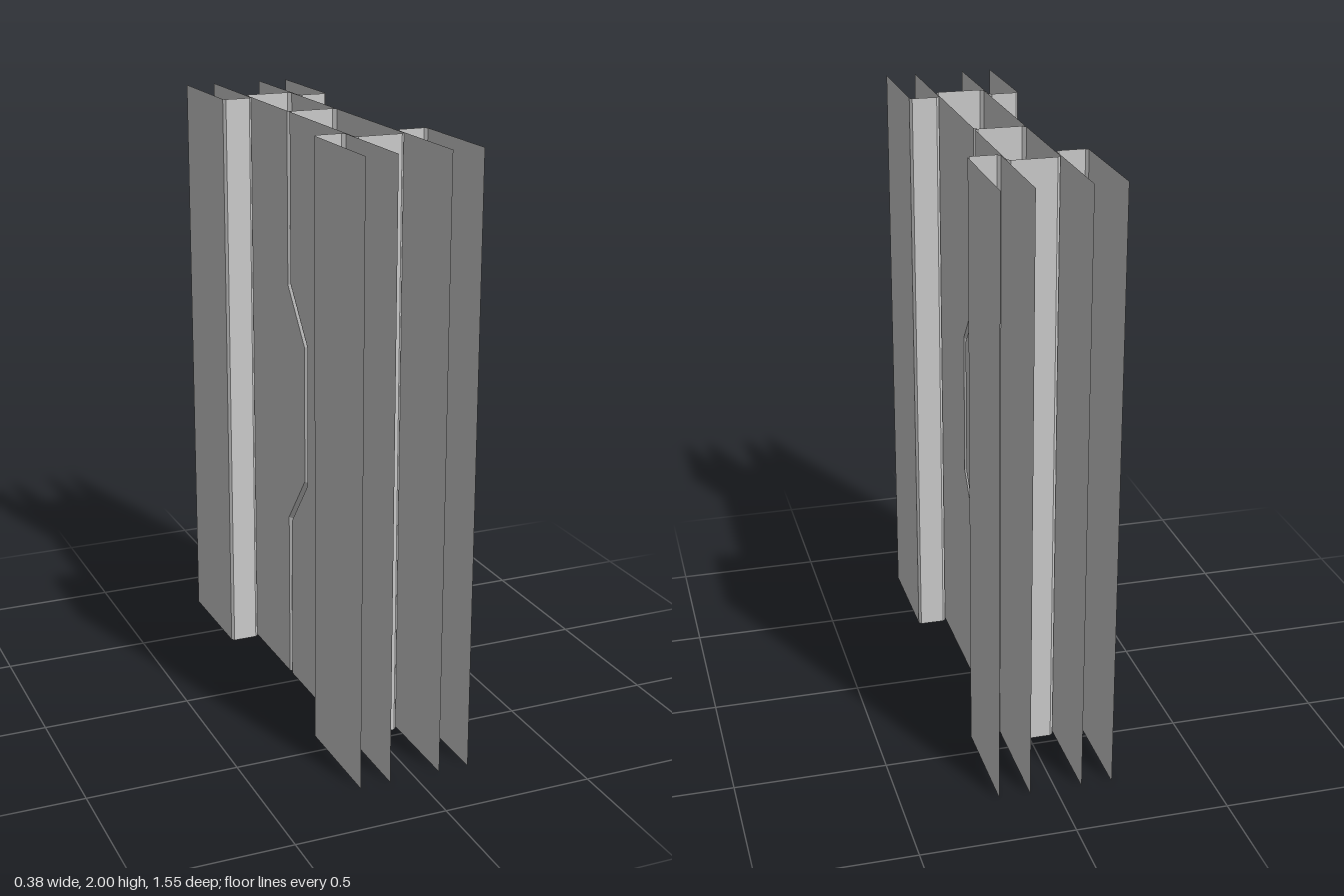
import * as THREE from 'three';

const HEIGHT = 2;
const material = new THREE.MeshStandardMaterial({ color: 0xcccccc, flatShading: true, side: THREE.DoubleSide });

// Stitch upright columns of points into flat-shaded quads.
function skin(columns, closed, flip) {
  const cols = flip ? [...columns].reverse() : columns;
  const pos = [];
  const last = closed ? cols.length : cols.length - 1;
  for (let i = 0; i < last; i++) {
    const p = cols[i], q = cols[(i + 1) % cols.length];
    for (let j = 0; j < p.length - 1; j++) {
      pos.push(...p[j], ...q[j], ...q[j + 1], ...p[j], ...q[j + 1], ...p[j + 1]);
    }
  }
  const geometry = new THREE.BufferGeometry();
  geometry.setAttribute('position', new THREE.Float32BufferAttribute(pos, 3));
  geometry.computeVertexNormals();
  return geometry;
}

// Stepped line where the two leaves meet, as [z, y], shifted sideways by d.
const KINK = 0.353; // tan of half the bend angle, keeps the chamfer even
function seam(d) {
  const lower = [[-0.07, 0.585], [0.075, 0.765]];
  const low = lower.map(([z, y]) => [z + d, y - KINK * d]);
  const high = low.map(([z, y]) => [z, HEIGHT + 0.01 - y]).reverse();
  return [[-0.07 + d, 0], ...low, ...high, [-0.07 + d, HEIGHT]];
}

// Door leaf: a hollow sleeve, open at top and bottom, with chamfered edges.
function doorLeaf(side) {
  const face = 0.083, edge = 0.072, chamfer = 0.012, end = 0.465;
  const seamColumn = (x, d) => seam(d * side).map(([z, y]) => [x, y, z]);
  const endColumn = (x, d) => seam(0).map(([, y]) => [x, y, side * (end - d)]);
  return skin([
    endColumn(-edge, 0), endColumn(-face, chamfer),
    seamColumn(-face, chamfer), seamColumn(-edge, 0),
    seamColumn(edge, 0), seamColumn(face, chamfer),
    endColumn(face, chamfer), endColumn(edge, 0),
  ], true, side > 0);
}

// Wall pocket: inner sheet, chamfered jamb and outer sheet.
function wallPocket(sx, sz) {
  const profile = [
    [0.086, 0.777], [0.086, 0.403], [0.096, 0.393],
    [0.18, 0.393], [0.188, 0.403], [0.188, 0.777],
  ];
  const columns = profile.map(([x, z]) => [0, HEIGHT].map((y) => [sx * x, y, sz * z]));
  return skin(columns, false, sx * sz > 0);
}

export function createModel() {
  const group = new THREE.Group();
  group.name = 'slidingDoor';
  const add = (name, geometry) => {
    const mesh = new THREE.Mesh(geometry, material);
    mesh.name = name;
    group.add(mesh);
  };
  for (const sz of [1, -1]) {
    const end = sz > 0 ? 'front' : 'back';
    add(`${end}DoorLeaf`, doorLeaf(sz));
    for (const sx of [1, -1]) {
      add(`${end}${sx > 0 ? 'Left' : 'Right'}WallPocket`, wallPocket(sx, sz));
    }
  }
  return group;
}
